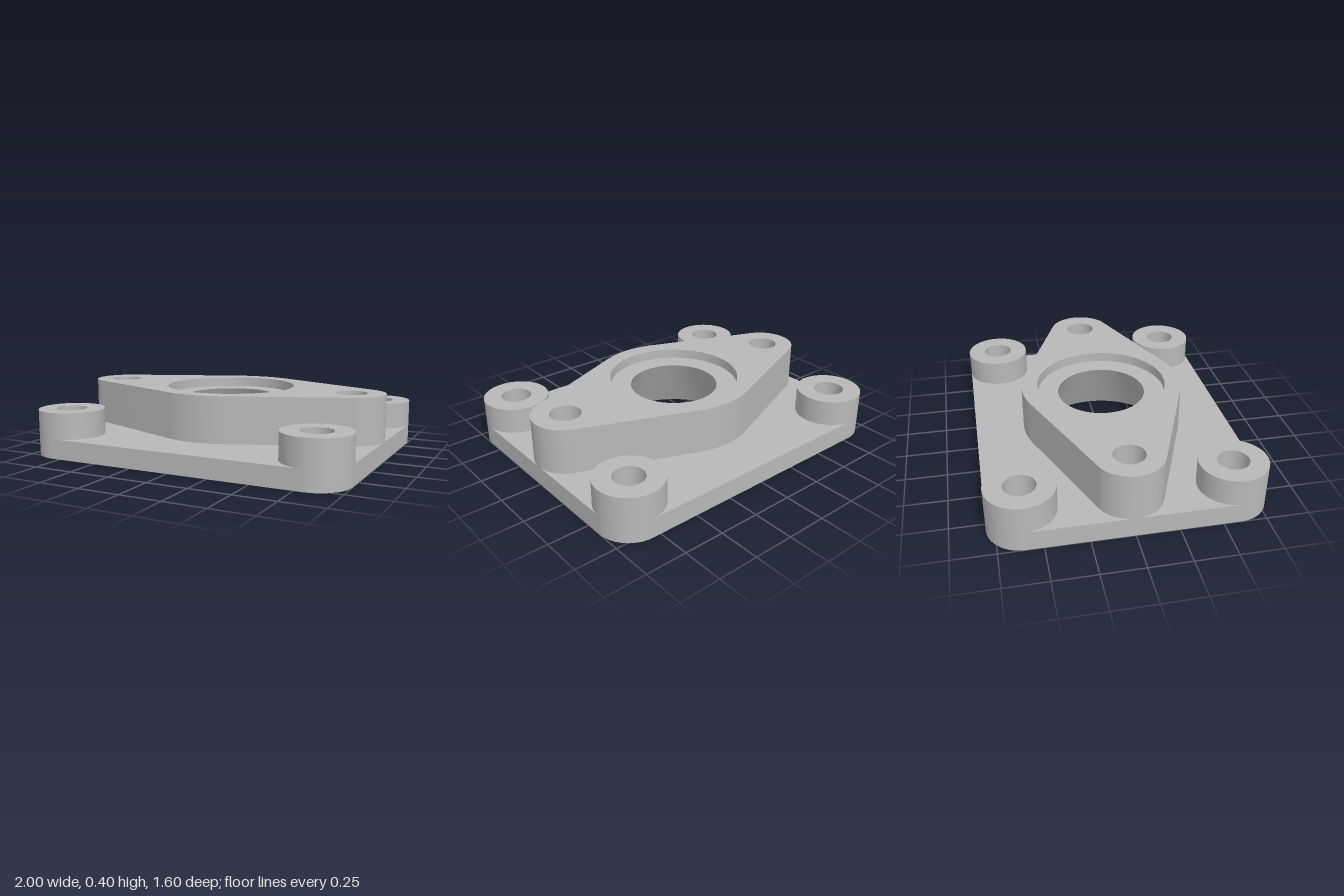
import * as THREE from 'three';
import { toCreasedNormals } from 'three/addons/utils/BufferGeometryUtils.js';

const HOLE_R = 0.092;

// Outline through corner arcs [x, y, radius, startAngle, endAngle], joined by straight lines
function outline(arcs) {
  const shape = new THREE.Shape();
  for (const [x, y, r, a, b] of arcs) shape.absarc(x, y, r, a, b, false);
  return shape;
}

function drill(shape, x, y, r) {
  shape.holes.push(new THREE.Path().absarc(x, y, r, 0, Math.PI * 2, true));
}

// Flat shape raised from one height to another
function slab(shape, bottom, top) {
  const geometry = new THREE.ExtrudeGeometry(shape, {
    depth: top - bottom, bevelEnabled: false, curveSegments: 64,
  });
  geometry.rotateX(-Math.PI / 2).translate(0, bottom, 0);
  return toCreasedNormals(geometry, 0.4);
}

export function createModel() {
  const group = new THREE.Group();
  const metal = new THREE.MeshStandardMaterial({ color: 0xb8b8b8 });
  metal.name = 'grey metal';

  const add = (name, geometry) => {
    const mesh = new THREE.Mesh(geometry, metal);
    mesh.name = name;
    group.add(mesh);
  };

  const q = Math.PI / 2;
  const corners = [[0.8, 0.6], [-0.8, 0.6], [-0.8, -0.6], [0.8, -0.6]];

  // Base plate with rounded corners, six bolt holes and the wide end of the bore
  const plate = outline(corners.map(([x, y], i) => [x, y, 0.2, i * q, (i + 1) * q]));
  for (const [x, y] of [...corners, [0.8, 0], [-0.8, 0]]) drill(plate, x, y, HOLE_R);
  drill(plate, 0, 0, 0.44);
  add('basePlate', slab(plate, 0, 0.12));

  // Corner bosses
  for (const [x, y] of corners) {
    const boss = outline([[x, y, 0.2, 0, Math.PI * 2]]);
    drill(boss, x, y, HOLE_R);
    add('cornerBoss', slab(boss, 0.12, 0.28));
  }

  // Raised flange: a large centre arc tangent to two small end arcs
  const t = Math.acos((0.5 - 0.2) / 0.8);
  const flange = outline([
    [0.8, 0, 0.2, -t, t],
    [0, 0, 0.5, t, Math.PI - t],
    [-0.8, 0, 0.2, Math.PI - t, Math.PI + t],
    [0, 0, 0.5, Math.PI + t, 2 * Math.PI - t],
  ]);
  drill(flange, 0.8, 0, HOLE_R);
  drill(flange, -0.8, 0, HOLE_R);
  drill(flange, 0, 0, 0.4);
  add('flange', slab(flange, 0.12, 0.4));

  // Counterbore floor and the tapered bore that widens downwards
  const profile = [[0.4, 0.34], [0.272, 0.34], [0.44, 0]].map(([x, y]) => new THREE.Vector2(x, y));
  add('taperedBore', toCreasedNormals(new THREE.LatheGeometry(profile, 64), 0.4));

  return group;
}
